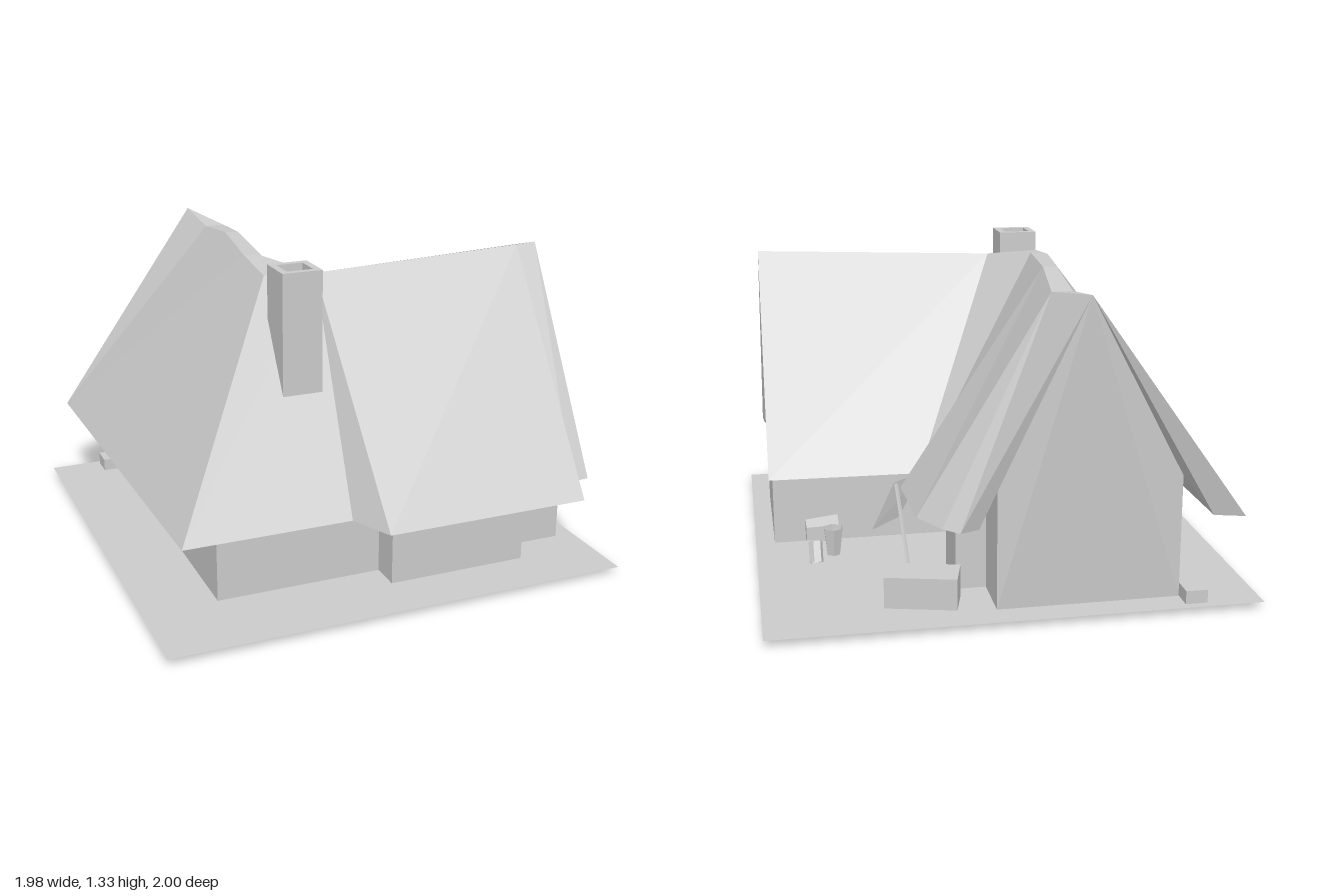
import * as THREE from 'three';

const material = new THREE.MeshStandardMaterial({ color: 0xcccccc, flatShading: true, side: THREE.DoubleSide });

export function createModel() {
  const house = new THREE.Group();
  house.name = 'cottage';

  const add = (name, geometry, x = 0, y = 0, z = 0) => {
    const mesh = new THREE.Mesh(geometry, material);
    mesh.name = name;
    mesh.position.set(x, y, z);
    house.add(mesh);
    return mesh;
  };

  // Flat facets: each polygon is fanned from its first corner
  const facets = (name, polygons) => {
    const positions = [];
    for (const p of polygons)
      for (let i = 1; i < p.length - 1; i++) positions.push(...p[0], ...p[i], ...p[i + 1]);
    const geometry = new THREE.BufferGeometry();
    geometry.setAttribute('position', new THREE.Float32BufferAttribute(positions, 3));
    geometry.computeVertexNormals();
    return add(name, geometry);
  };

  const FLOOR = 0.03, EAVE = 0.38, WALL = 0.54;

  // Ground plate
  add('ground', new THREE.PlaneGeometry(1.975, 1.98).rotateX(-Math.PI / 2), 0, FLOOR, -0.01);

  // Ridge points
  const hip = [-0.335, 1.26, 0.29];
  const ridge1 = [-0.325, 1.285, 0.02];
  const ridge2 = [-0.27, 1.295, -0.38];
  const ridge3 = [-0.255, 1.255, -0.7];
  const backPeak = [-0.26, 1.29, -0.97];
  const valley = [-0.11, 1.25, 0.29];
  const crest1 = [-0.26, 1.285, 0.065];
  const crest2 = [-0.215, 1.295, -0.36];
  const crest3 = [-0.17, 1.255, -0.7];
  const strip = [0.83, 1.285, 0.29];
  const sidePeak = [0.92, 1.29, 0.29];

  // Eave lines (x, z) and the wall corners that lie below them
  const westEave = [[-0.91, -0.95], [-0.87, 0.82]];
  const westWall = [[-0.67, -0.88], [-0.67, 0.62]];
  const frontEave = [[-0.87, 0.82], [-0.17, 0.82], [-0.09, 1], [0.78, 1], [0.84, 0.82], [0.92, 0.81]];
  const frontWall = [[-0.67, 0.62], [0.04, 0.62], [0.04, 0.75], [0.65, 0.75], [0.65, 0.62], [0.905, 0.62]];
  const backEave = [[0.925, -0.175], [0.28, -0.19], [0.33, -0.27], [0.385, -0.36],
    [0.37, -0.73], [0.29, -0.88], [0.23, -0.94]];
  const backWall = [[0.905, 0], [0.075, 0], [0.075, -0.4], [0.2, -0.4],
    [0.2, -0.65], [0.075, -0.65], [0.075, -0.88]];

  const at = ([x, z], y) => [x, y, z];
  const middle = (a, b) => [(a[0] + b[0]) / 2, (a[1] + b[1]) / 2];
  const W = westEave.map((p) => at(p, EAVE));
  const F = frontEave.map((p) => at(p, EAVE));
  const B = backEave.map((p) => at(p, EAVE));

  // Roof over the long wing
  facets('westRoof', [
    [W[0], W[1], hip], [W[0], hip, ridge1], [W[0], ridge1, ridge2],
    [W[0], ridge2, ridge3], [W[0], ridge3, backPeak],
  ]);
  facets('ridgeCap', [
    [hip, valley, crest1], [hip, crest1, ridge1], [ridge1, crest1, crest2],
    [ridge1, crest2, ridge2], [ridge2, crest2, crest3], [ridge2, crest3, ridge3],
    [ridge3, crest3, backPeak],
  ]);
  facets('eastRoof', [
    [valley, B[1], crest1], [crest1, B[1], crest2], [crest2, B[1], B[3]],
    [crest2, B[3], B[4]], [crest2, B[4], crest3], [crest3, B[4], B[5]],
    [crest3, B[5], B[6]], [crest3, B[6], backPeak],
  ]);

  // Roof over the side wing, with its raised front panel
  facets('frontRoof', [
    [F[0], F[1], valley, hip], [F[1], F[2], valley], [F[2], F[3], strip, valley],
    [F[3], F[4], strip], [F[4], F[5], sidePeak, strip],
  ]);
  facets('rearRoof', [[valley, sidePeak, B[0]], [valley, B[0], B[1]]]);

  // Soffits under the eaves, and the walls below them
  const side = (name, eave, wall) => {
    const soffit = [], walls = [];
    for (let i = 0; i < eave.length - 1; i++) {
      const j = i + 1;
      const a = at(middle(eave[i], wall[i]), EAVE), b = at(middle(eave[j], wall[j]), EAVE);
      const c = at(wall[i], WALL), d = at(wall[j], WALL);
      soffit.push([at(eave[i], EAVE), at(eave[j], EAVE), b, a], [a, b, d, c]);
      walls.push([c, d, at(wall[j], FLOOR), at(wall[i], FLOOR)]);
    }
    facets(name + 'Soffit', soffit);
    facets(name + 'Wall', walls);
  };
  side('west', westEave, westWall);
  side('front', frontEave, frontWall);
  side('back', backEave, backWall);

  // Gable ends, flush with the roof edges
  const gable = (name, peak, eaveA, wallA, eaveB, wallB) => facets(name, [[
    peak, at(eaveA, EAVE), at(middle(eaveA, wallA), EAVE), at(wallA, WALL), at(wallA, FLOOR),
    at(wallB, FLOOR), at(wallB, WALL), at(middle(eaveB, wallB), EAVE), at(eaveB, EAVE),
  ]]);
  gable('sideGable', sidePeak, frontEave[5], frontWall[5], backEave[0], backWall[0]);
  gable('backGable', backPeak, backEave[6], backWall[6], westEave[0], westWall[0]);

  // Hollow chimney
  const square = (r) => [[-r, -r], [r, -r], [r, r], [-r, r]].map((p) => new THREE.Vector2(...p));
  const flue = new THREE.Shape(square(0.084));
  flue.holes.push(new THREE.Path(square(0.055).reverse()));
  add('chimney', new THREE.ExtrudeGeometry(flue, { depth: 0.5, bevelEnabled: false }).rotateX(-Math.PI / 2),
    -0.27, 0.83, 0.463);

  // Crate and corner stone
  add('crate', new THREE.BoxGeometry(0.29, 0.16, 0.155), 0.35, 0.08, -0.75).rotation.y = -0.25;
  add('cornerStone', new THREE.BoxGeometry(0.09, 0.055, 0.1), -0.715, 0.06, -0.92);

  // Leaning board and its prop
  facets('leaningBoard', [[[0.23, 0.335, -0.01], [0.39, 0.335, -0.17], [0.5, 0.17, -0.285], [0.37, 0.17, -0.15]]]);
  const prop = new THREE.LineCurve3(new THREE.Vector3(0.38, 0.33, -0.17), new THREE.Vector3(0.36, 0.035, -0.41));
  add('prop', new THREE.TubeGeometry(prop, 1, 0.008, 4));

  // Low-sided pots beside the rear wall
  const tub = add('tub', new THREE.CylinderGeometry(0.065, 0.05, 0.14, 5), 0.7, 0.11, -0.09);
  tub.rotation.z = Math.PI / 2;
  add('pot', new THREE.CylinderGeometry(0.045, 0.03, 0.12, 6, 1, true), 0.66, 0.1, -0.2);
  const jug = add('jug', new THREE.CylinderGeometry(0.03, 0.03, 0.09, 6, 1, true), 0.74, 0.08, -0.27);
  jug.rotation.set(0.5, 0.7, 0);

  return house;
}
